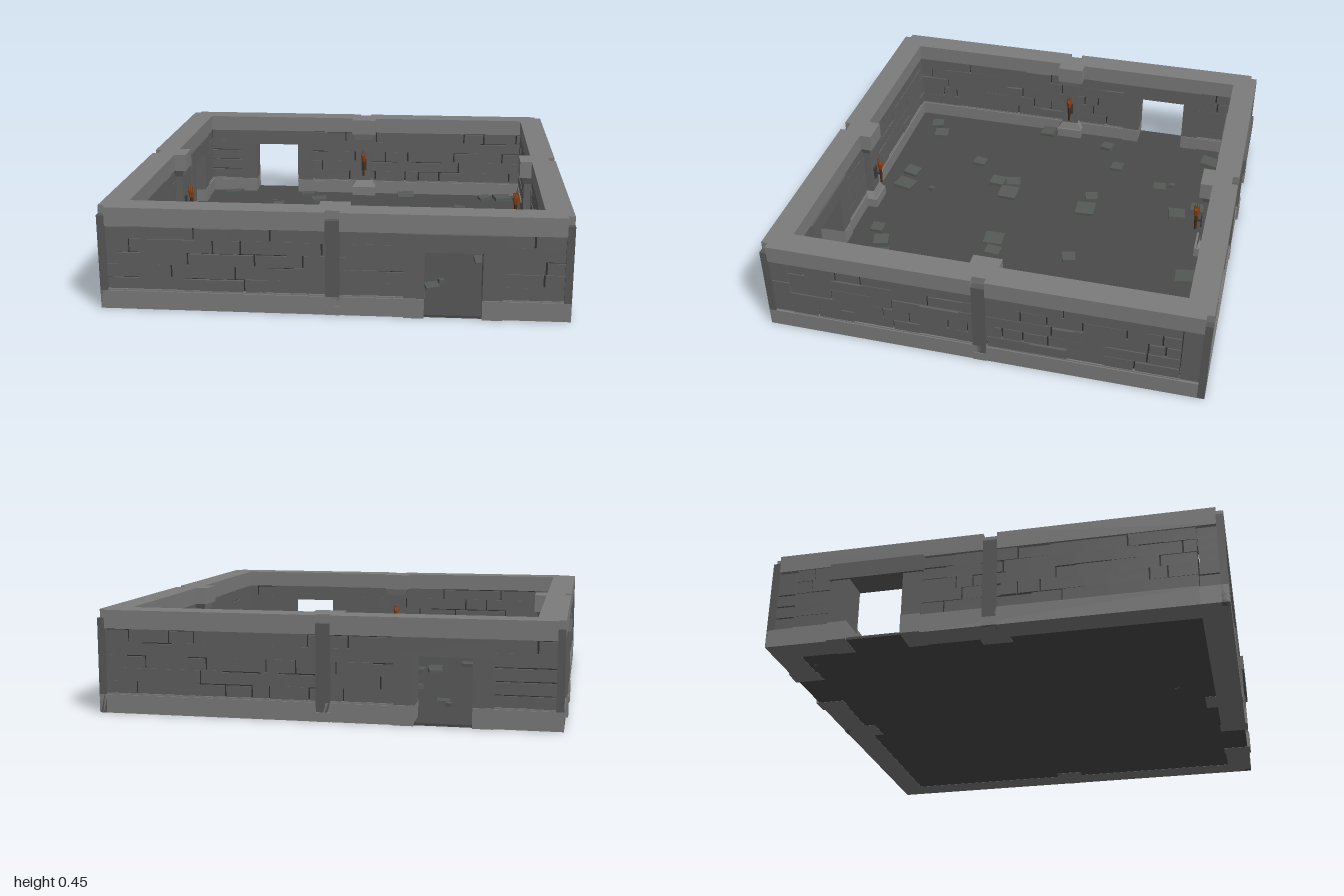
import * as THREE from 'three';
import { mergeGeometries } from 'three/addons/utils/BufferGeometryUtils.js';

const mat = (color) => new THREE.MeshStandardMaterial({ color, flatShading: true });
const trim = mat(0x7c7c7c), stone = mat(0x606060), mortar = mat(0x303030);
const ground = mat(0x4a4a4a), rubbleMat = mat(0x565a57), post = mat(0x585858);
const wood = mat(0x4a2a14), rust = mat(0x8a4214), iron = mat(0x3a3a3a);

let seed = 7;
const rand = () => (seed = (seed * 16807) % 2147483647) / 2147483647;

// box given by its limits on each axis
function block(x0, x1, y0, y1, z0, z1) {
  return new THREE.BoxGeometry(x1 - x0, y1 - y0, z1 - z0)
    .translate((x0 + x1) / 2, (y0 + y1) / 2, (z0 + z1) / 2);
}

function add(parent, name, geometry, material) {
  const mesh = new THREE.Mesh(Array.isArray(geometry) ? mergeGeometries(geometry) : geometry, material);
  mesh.name = name;
  parent.add(mesh);
  return mesh;
}

// four-sided frustum, half sizes at bottom and top
function frustum(wBottom, dBottom, wTop, dTop, y0, y1, z) {
  const g = new THREE.BoxGeometry(2, y1 - y0, 2);
  const p = g.attributes.position;
  for (let i = 0; i < p.count; i++) {
    const top = p.getY(i) > 0;
    p.setX(i, p.getX(i) * (top ? wTop : wBottom));
    p.setZ(i, p.getZ(i) * (top ? dTop : dBottom));
  }
  return g.translate(0, (y0 + y1) / 2, z);
}

// closed path repeated around the four sides of the square
function fourSides(points) {
  const out = [];
  for (let k = 0; k < 4; k++) {
    for (const [x, y] of points) {
      out.push(new THREE.Vector2(x, y).rotateAround(new THREE.Vector2(), k * Math.PI / 2));
    }
  }
  return out;
}

// one-piece coping with notches outside and pilaster heads inside
function copingGeometry() {
  const shape = new THREE.Shape(fourSides([
    [-0.955, -0.985], [-0.03, -0.985], [-0.03, -0.955], [0.03, -0.955],
    [0.03, -0.985], [0.955, -0.985], [0.955, -0.955]]));
  shape.holes.push(new THREE.Path(fourSides([
    [-0.87, -0.87], [-0.065, -0.87], [-0.065, -0.815], [0.065, -0.815], [0.065, -0.87]])));
  return new THREE.ExtrudeGeometry(shape, { depth: 0.08, bevelEnabled: false })
    .rotateX(-Math.PI / 2).translate(0, 0.365, 0);
}

// courses of uneven bricks between x0 and x1
function courses(x0, x1, out) {
  const rows = 5, h = 0.28 / rows;
  for (let r = 0; r < rows; r++) {
    const y = 0.085 + r * h;
    let x = x0;
    while (x < x1 - 0.001) {
      let end = x + 0.07 + rand() * 0.13;
      if (x1 - end < 0.05) end = x1;
      const gapX = rand() < 0.5 && end < x1 ? 0.008 : 0;
      const gapY = rand() < 0.3 ? 0.006 : 0;
      out.push(block(x, end - gapX, y, y + h - gapY, 0.876 - rand() * 0.006, 0.972 + rand() * 0.008));
      x = end;
    }
  }
}

// wall along x, facing +z, with an optional doorway centred on door
function buildWall(name, half, door) {
  const wall = new THREE.Group();
  wall.name = name;
  const spans = door === null ? [[-half, half]] : [[-half, door - 0.2], [door + 0.2, half]];
  const bricks = [], cores = [], plinths = [];
  for (const [a, b] of spans) {
    const end = (v) => Math.sign(v) * Math.min(Math.abs(v), 0.975);
    courses(end(a), end(b), bricks);
    cores.push(block(Math.max(a, -0.965), Math.min(b, 0.965), 0.05, 0.37, 0.885, 0.965));
    plinths.push(block(a, b, 0, 0.08, 0.866, 0.985));
    plinths.push(block(end(a), end(b), 0.08, 0.087, 0.871, 0.98));
  }
  add(wall, 'bricks', bricks, stone);
  add(wall, 'mortarCore', cores, mortar);
  add(wall, 'plinth', plinths, trim);

  if (door !== null) {
    const jambs = [], feet = [];
    for (const s of [-1, 1]) {
      const lo = Math.min(s * 0.12, s * 0.205), hi = Math.max(s * 0.12, s * 0.205);
      jambs.push(block(door + lo, door + hi, 0.08, 0.29, 0.864, 0.99));
      feet.push(block(door + lo, door + hi, 0, 0.085, 0.86, 0.995));
    }
    add(wall, 'doorJambs', jambs, stone);
    add(wall, 'doorJambFeet', feet, trim);
    add(wall, 'doorLintel', block(door - 0.21, door + 0.21, 0.29, 0.367, 0.86, 1), stone);
  }

  // outer joint post
  add(wall, 'jointPost', block(-0.03, 0.03, 0, 0.41, 0.95, 0.985), post);
  add(wall, 'jointPostFoot', block(-0.03, 0.03, 0, 0.04, 0.95, 0.988), trim);

  // inner pilaster with flared foot and head
  add(wall, 'pilasterShaft', block(-0.042, 0.042, 0.08, 0.34, 0.838, 0.9), stone);
  add(wall, 'pilasterTrim', [
    block(-0.065, 0.065, 0, 0.06, 0.815, 0.9),
    frustum(0.065, 0.0425, 0.044, 0.032, 0.06, 0.095, 0.8675),
    frustum(0.044, 0.032, 0.065, 0.0425, 0.33, 0.366, 0.8675)], trim);

  // torch on the pilaster
  const torch = new THREE.Group();
  torch.name = 'torch';
  torch.position.set(0, 0.2, 0.806);
  add(torch, 'torchBracket', [
    block(-0.014, 0.014, -0.045, 0.02, 0.024, 0.034),
    block(-0.005, 0.005, -0.02, -0.01, 0, 0.03)], iron);
  add(torch, 'torchHandle', new THREE.CylinderGeometry(0.009, 0.006, 0.1, 6).translate(0, -0.02, 0), wood);
  add(torch, 'torchCup', new THREE.CylinderGeometry(0.017, 0.01, 0.035, 6).translate(0, 0.03, 0), rust);
  const spikes = [];
  for (let i = 0; i < 5; i++) {
    spikes.push(new THREE.ConeGeometry(0.006, 0.035 + 0.008 * (i % 3), 4)
      .translate(0.011, 0.06, 0).rotateY(i * Math.PI * 0.4));
  }
  add(torch, 'torchSpikes', spikes, rust);
  wall.add(torch);
  return wall;
}

// loose slabs on the floor: x, z, size
const SLABS = [
  [-0.74, -0.8, 0.09], [-0.31, -0.79, 0.07], [-0.24, -0.69, 0.08], [-0.45, -0.57, 0.06], [-0.58, -0.32, 0.06],
  [-0.76, -0.23, 0.06], [-0.28, -0.24, 0.06], [-0.17, -0.23, 0.09], [0.24, -0.8, 0.09], [0.68, -0.79, 0.06],
  [0.78, -0.8, 0.09], [0.54, -0.57, 0.06], [0.23, -0.23, 0.06], [0.71, -0.23, 0.06], [0.82, -0.24, 0.09],
  [0.82, -0.34, 0.09], [-0.83, 0.12, 0.07], [-0.31, 0.19, 0.07], [-0.21, 0.19, 0.09], [-0.3, 0.27, 0.07],
  [0.18, 0.16, 0.09], [0.27, 0.14, 0.07], [0.65, 0.29, 0.09], [0.74, 0.29, 0.08], [0.68, 0.19, 0.06],
  [-0.45, 0.41, 0.06], [-0.67, 0.7, 0.07], [-0.76, 0.75, 0.06], [-0.28, 0.74, 0.07], [-0.16, 0.74, 0.09],
  [0.23, 0.75, 0.06], [0.32, 0.7, 0.07], [0.41, 0.66, 0.06], [0.68, 0.75, 0.06], [0.78, 0.71, 0.08],
  [0.83, 0.65, 0.09], [0.73, 0.67, 0.04], [-0.48, -0.63, 0.025], [-0.15, 0.59, 0.025], [0.45, 0.59, 0.025]];

function slabGeometry([x, z, size]) {
  return new THREE.BoxGeometry(size, 0.022, size * 1.05)
    .rotateX((rand() - 0.5) * 0.2).rotateZ((rand() - 0.5) * 0.2)
    .rotateY((rand() - 0.5) * 0.6).translate(x, 0.018, z);
}

export function createModel() {
  const model = new THREE.Group();
  model.name = 'walledRoom';

  add(model, 'floor', block(-0.98, 0.98, 0.001, 0.012, -0.98, 0.98), ground);
  add(model, 'floorSlabs', SLABS.map(slabGeometry), rubbleMat);

  // four walls: name, turn, half length, doorway position
  const walls = [
    ['frontWall', 0, 0.985, 0.5], ['backWall', Math.PI, 0.985, 0.5],
    ['leftWall', Math.PI / 2, 0.868, null], ['rightWall', -Math.PI / 2, 0.868, -0.5]];
  for (const [name, turn, half, door] of walls) {
    const wall = buildWall(name, half, door);
    wall.rotation.y = turn;
    model.add(wall);
  }

  add(model, 'coping', copingGeometry(), trim);

  // slim posts set into the corners
  const posts = [];
  for (const sx of [-1, 1]) for (const sz of [-1, 1]) {
    posts.push(new THREE.BoxGeometry(0.032, 0.41, 0.032).translate(sx * 0.969, 0.205, sz * 0.969));
  }
  add(model, 'cornerPosts', posts, post);
  return model;
}
